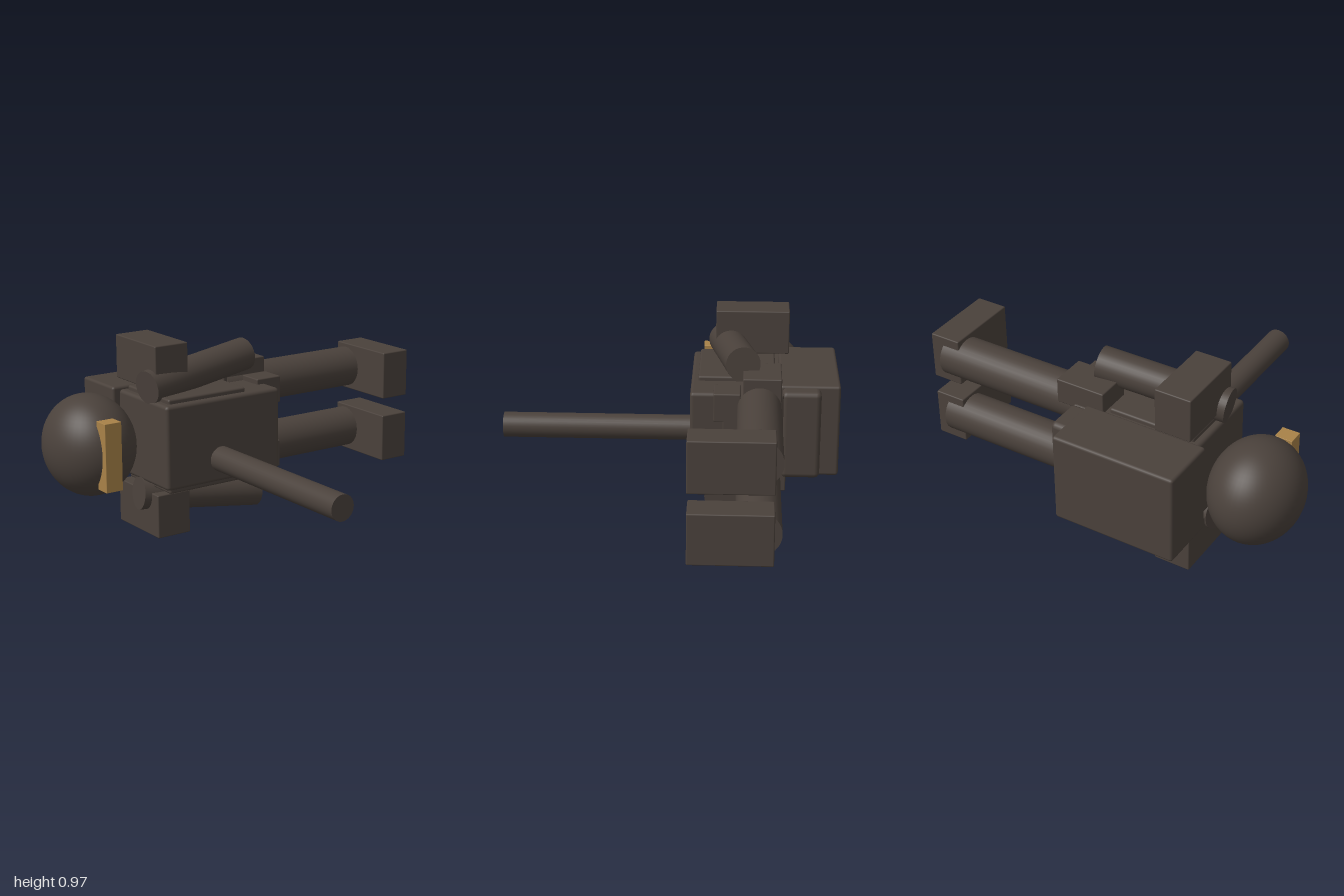
import * as THREE from 'three';
import { RoundedBoxGeometry } from 'three/addons/geometries/RoundedBoxGeometry.js';

// A figure lying flat: its head points to +z, its face to +x.
export function createModel() {
  const model = new THREE.Group();
  const dark = new THREE.MeshStandardMaterial({ color: 0x4a413b });
  dark.name = 'dark brown';
  const tan = new THREE.MeshStandardMaterial({ color: 0xa88248 });
  tan.name = 'tan';

  const add = (name, geometry, material = dark) => {
    const mesh = new THREE.Mesh(geometry, material);
    mesh.name = name;
    model.add(mesh);
    return mesh;
  };
  // Box given by its limits on each axis
  const box = (name, [x0, x1], [y0, y1], [z0, z1], radius = 0.006, material = dark) => {
    const mesh = add(name, new RoundedBoxGeometry(x1 - x0, y1 - y0, z1 - z0, 2, radius), material);
    mesh.position.set((x0 + x1) / 2, (y0 + y1) / 2, (z0 + z1) / 2);
    return mesh;
  };
  // Cylinder between two points
  const rod = (name, from, to, r0, r1 = r0) => {
    const a = new THREE.Vector3(...from), b = new THREE.Vector3(...to);
    const d = b.clone().sub(a);
    const mesh = add(name, new THREE.CylinderGeometry(r1, r0, d.length(), 32));
    mesh.position.copy(a).add(b).multiplyScalar(0.5);
    mesh.quaternion.setFromUnitVectors(new THREE.Vector3(0, 1, 0), d.normalize());
    return mesh;
  };

  // Head and visor
  const head = add('head', new THREE.SphereGeometry(1, 48, 32));
  head.scale.set(0.26, 0.253, 0.222);
  head.position.set(-0.437, 0.49, 0.773);
  box('visor', [-0.24, -0.16], [0.32, 0.66], [0.75, 0.84], 0.002, tan);

  // Body, side panels and pack
  box('torso', [-0.57, -0.115], [0.28, 0.705], [-0.145, 0.525], 0.018);
  box('sidePanels', [-0.53, -0.15], [0.252, 0.728], [0.04, 0.49], 0.01);
  box('backpack', [-0.845, -0.55], [0.258, 0.722], [-0.07, 0.565], 0.014);
  box('lowerPack', [-0.75, -0.56], [0.27, 0.712], [-0.145, 0.4], 0.025);
  rod('barrel', [-0.2, 0.395, 0.21], [0.845, 0.395, 0.21], 0.064);

  // Legs, feet and thigh pouches, mirrored about the middle height
  const middle = 0.492;
  for (const side of [1, -1]) {
    const across = (a, b) => [middle + side * a, middle + side * b].sort((p, q) => p - q);
    const legY = middle + side * 0.168;
    rod('leg', [-0.45, legY, 0], [-0.45, legY, -0.93], 0.106);
    box('foot', [-0.52, -0.13], across(0.047, 0.294), [-1, -0.838]);
    box('outerPouch', [-0.555, -0.37], across(0.19, 0.317), [-0.235, 0.02]);
    box('innerPouch', [-0.44, -0.275], across(0.02, 0.15), [-0.235, -0.09]);
    box('frontPouch', [-0.36, -0.23], across(0.1, 0.24), [-0.235, -0.09]);
    box('hand', [-0.6, -0.23], across(0.265, 0.487), [0.325, 0.512]);
  }

  // Arms, swung in opposite directions
  rod('leftArm', [-0.275, 0.77, 0.533], [-0.37, 0.84, -0.105], 0.084);
  rod('rightArm', [-0.375, 0.212, 0.533], [-0.27, 0.142, -0.105], 0.084);

  return model;
}
